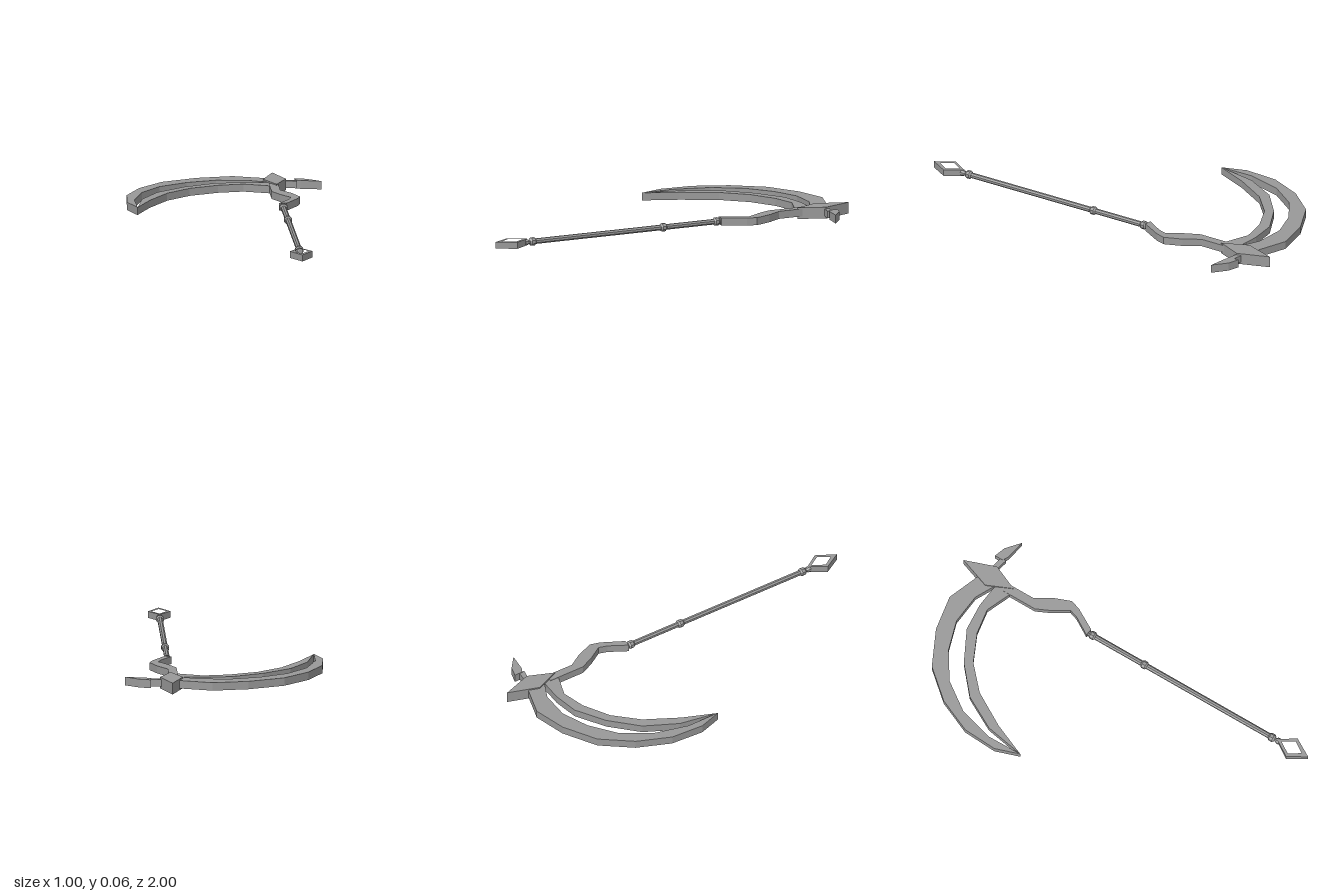
import * as THREE from 'three';

const steel = new THREE.MeshStandardMaterial({ color: 0x999999 });
steel.name = 'steelGrey';
steel.flatShading = true;

const AXIS_X = 0.27;
const AXIS_Y = 0.032;

// Flat plate from an [x, z] outline, between heights y0 and y1
function plate(name, outline, y0, y1, hole) {
  const toPoints = (list) => list.map(([x, z]) => new THREE.Vector2(x, -z));
  const shape = new THREE.Shape(toPoints(outline));
  if (hole) shape.holes.push(new THREE.Path(toPoints(hole)));
  const geometry = new THREE.ExtrudeGeometry(shape, { depth: y1 - y0, bevelEnabled: false });
  geometry.rotateX(-Math.PI / 2).translate(0, y0, 0);
  const mesh = new THREE.Mesh(geometry, steel);
  mesh.name = name;
  return mesh;
}

// Round part along the shaft axis from [radius, z] pairs
function turned(name, profile) {
  const points = profile.map(([r, z]) => new THREE.Vector2(r, z));
  const geometry = new THREE.LatheGeometry(points, 8, Math.PI / 8);
  geometry.rotateX(Math.PI / 2).translate(AXIS_X, AXIS_Y, 0);
  const mesh = new THREE.Mesh(geometry, steel);
  mesh.name = name;
  return mesh;
}

function diamond(halfWidth, zBack, zWide, zFront) {
  return [[AXIS_X, zBack], [AXIS_X + halfWidth, zWide], [AXIS_X, zFront], [AXIS_X - halfWidth, zWide]];
}

export function createModel() {
  const group = new THREE.Group();
  group.name = 'scythe';

  // Twin crescent blades meeting at the tip
  group.add(plate('outerBlade', [
    [0.25, -0.89], [0.07, -0.96], [-0.11, -0.93], [-0.29, -0.845], [-0.415, -0.70],
    [-0.49, -0.53], [-0.50, -0.355], [-0.458, -0.23],
    [-0.46, -0.41], [-0.41, -0.59], [-0.31, -0.73], [-0.17, -0.82], [-0.02, -0.865],
    [0.135, -0.85], [0.25, -0.79],
  ], 0.01, 0.05));
  group.add(plate('innerBlade', [
    [0.25, -0.795], [0.11, -0.81], [-0.03, -0.80], [-0.19, -0.72], [-0.33, -0.60],
    [-0.42, -0.435], [-0.458, -0.23],
    [-0.385, -0.40], [-0.285, -0.57], [-0.165, -0.68], [-0.02, -0.745], [0.11, -0.765],
    [0.235, -0.712], [0.26, -0.75],
  ], 0.011, 0.049));

  // Head piece and rear spike
  group.add(plate('headDiamond', diamond(0.057, -1, -0.84, -0.71), 0, 0.057));
  group.add(plate('spikeLink', [[0.30, -0.865], [0.38, -0.85], [0.38, -0.82], [0.30, -0.84]], 0.012, 0.048));
  group.add(plate('rearSpike', [
    [0.373, -0.88], [0.43, -0.86], [0.50, -0.80], [0.40, -0.82], [0.373, -0.835],
  ], 0.009, 0.051));

  // Crooked neck between head and shaft
  group.add(plate('neck', [
    [0.235, -0.76], [0.235, -0.565], [0.27, -0.49], [0.32, -0.41], [0.305, -0.365], [0.25, -0.275],
    [0.287, -0.27], [0.35, -0.38], [0.365, -0.43], [0.33, -0.52], [0.28, -0.60], [0.28, -0.76],
  ], 0.013, 0.051));

  // Shaft with its rings
  group.add(turned('shaft', [[0, -0.28], [0.014, -0.28], [0.014, 0.79], [0.01, 0.8], [0.01, 0.84], [0, 0.84]]));
  for (const z of [-0.25, 0.05, 0.79]) {
    group.add(turned('shaftRing', [
      [0.013, z - 0.018], [0.021, z - 0.009], [0.021, z + 0.009], [0.013, z + 0.018],
    ]));
  }
  group.add(turned('pommelCollar', [[0.009, 0.81], [0.016, 0.822], [0.016, 0.834], [0, 0.84]]));

  // Open diamond pommel
  group.add(plate('pommel', diamond(0.056, 0.82, 0.905, 1), 0.016, 0.049, diamond(0.038, 0.845, 0.905, 0.962)));

  return group;
}
